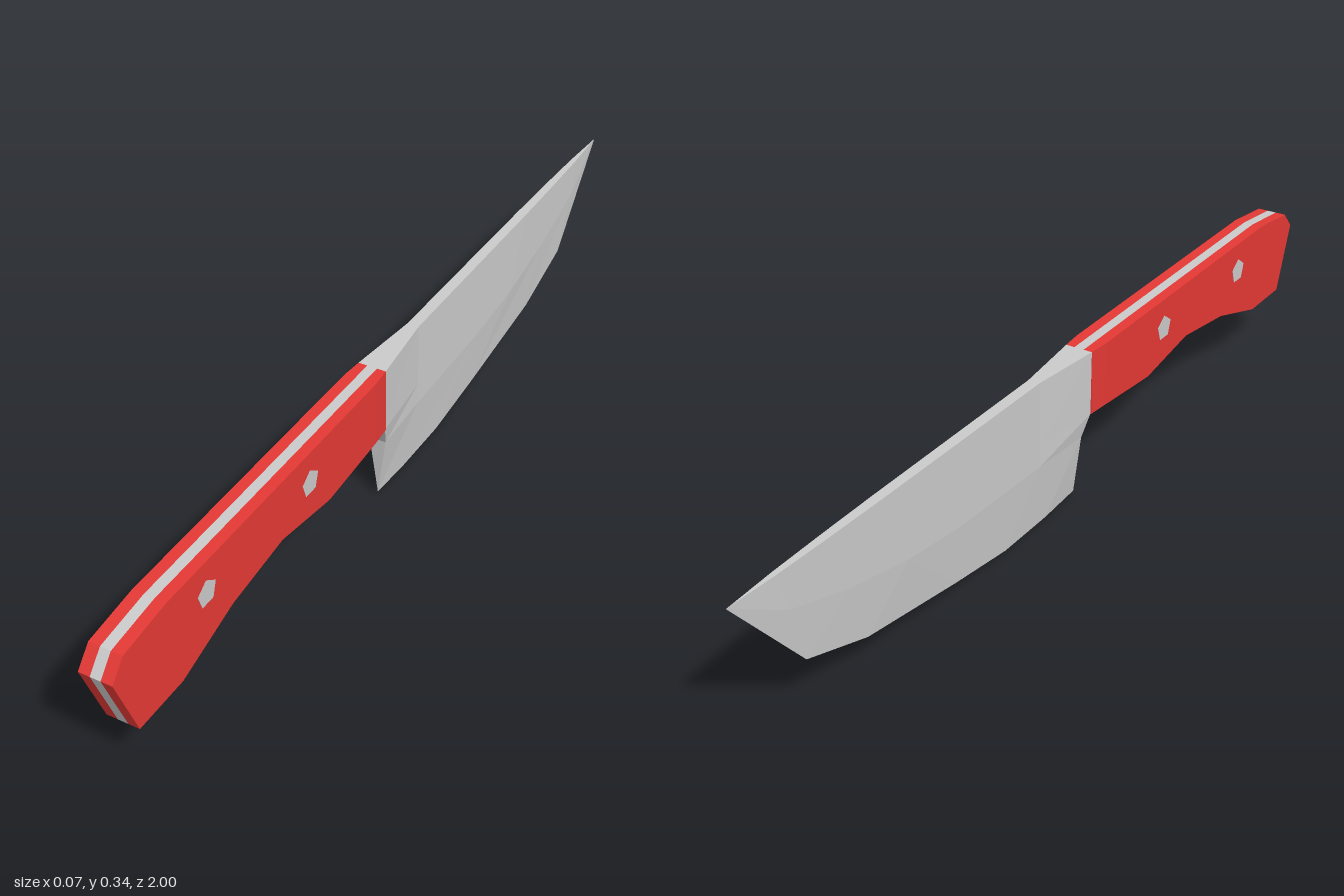
import * as THREE from 'three';

const grey = () => new THREE.MeshStandardMaterial({ color: 0xcccccc, flatShading: true });
const red = () => new THREE.MeshStandardMaterial({ color: 0xe53935, flatShading: true });

// Handle outline as [z, y]
const OUTLINE = [
  [0.08, 0.2], [0.13, 0.2], [0.31, 0.185], [0.48, 0.212], [0.65, 0.19], [0.815, 0.139], [0.945, 0.139],
  [1, 0.29], [0.965, 0.33], [0.84, 0.345], [0.13, 0.345], [0.08, 0.345],
];

// Slab of the handle outline between two x positions, narrowing where it meets the blade
function slab(name, x0, x1, material) {
  const shape = new THREE.Shape(OUTLINE.map(([z, y]) => new THREE.Vector2(z, y)));
  const g = new THREE.ExtrudeGeometry(shape, { depth: x1 - x0, bevelEnabled: false });
  g.rotateY(-Math.PI / 2).translate(x1, 0, 0);
  const p = g.attributes.position;
  for (let i = 0; i < p.count; i++) {
    const x = p.getX(i);
    if (Math.abs(x) > 0.02 && p.getZ(i) < 0.1) p.setX(i, Math.sign(x) * 0.031);
  }
  g.computeVertexNormals();
  const mesh = new THREE.Mesh(g, material);
  mesh.name = name;
  return mesh;
}

// Blade lofted through sections: spine, shoulder and bevel as [z, y, halfWidth], edge as [z, y]
function bladeGeometry() {
  const sections = [
    [[0.08, 0.345, 0.031], [0.08, 0.2, 0.029], [0.06, 0.15, 0.019], [0.06, 0.012]],
    [[-0.09, 0.345, 0.013], null, [-0.09, 0.151, 0.0125], [-0.05, 0.005]],
    [[-0.37, 0.345, 0.012], null, [-0.37, 0.16, 0.0115], [-0.2, 0.005]],
    [[-0.6, 0.345, 0.011], null, [-0.53, 0.177, 0.011], [-0.37, 0.027]],
    [[-0.75, 0.345, 0.009], null, [-0.7, 0.212, 0.009], [-0.65, 0.07]],
    [[-0.88, 0.345, 0.006], null, [-0.86, 0.26, 0.006], [-0.82, 0.128]],
    [[-1, 0.345, 0], null, [-1, 0.345, 0], [-1, 0.345]],
  ];
  const pos = [], idx = [], N = 7;
  for (const [spine, shoulder, bevel, edge] of sections) {
    const mid = shoulder || bevel.map((v, k) => v + (spine[k] - v) * 0.25);
    const side = [spine, mid, bevel];
    for (const [z, y, w] of side) pos.push(w, y, z);
    pos.push(0, edge[1], edge[0]);
    for (const [z, y, w] of side.reverse()) pos.push(-w, y, z);
  }
  for (let i = 0; i < sections.length - 1; i++) {
    for (let j = 0; j < N; j++) {
      const a = i * N + j, b = i * N + (j + 1) % N, c = a + N, d = b + N;
      if (i === sections.length - 2) idx.push(a, b, c); // closes to the tip
      else idx.push(a, b, c, b, d, c);
    }
  }
  // Heel cap
  idx.push(0, 6, 5, 0, 5, 1, 1, 5, 4, 1, 4, 2, 2, 4, 3);
  const g = new THREE.BufferGeometry();
  g.setAttribute('position', new THREE.Float32BufferAttribute(pos, 3));
  g.setIndex(idx);
  const flat = g.toNonIndexed();
  flat.computeVertexNormals();
  return flat;
}

export function createModel() {
  const model = new THREE.Group();
  model.name = 'knife';

  const blade = new THREE.Mesh(bladeGeometry(), grey());
  blade.name = 'blade';
  model.add(blade);

  // Handle: steel tang between two scales
  const handle = new THREE.Group();
  handle.name = 'handle';
  handle.add(
    slab('tang', -0.011, 0.011, grey()),
    slab('leftScale', 0.011, 0.035, red()),
    slab('rightScale', -0.035, -0.011, red()),
  );

  // Five-sided rivets through the handle
  for (const z of [0.725, 0.377]) {
    const g = new THREE.CylinderGeometry(0.029, 0.029, 0.071, 5, 1, false, Math.PI / 2);
    const rivet = new THREE.Mesh(g.rotateZ(Math.PI / 2), grey());
    rivet.position.set(0, 0.276, z);
    rivet.name = 'rivet';
    handle.add(rivet);
  }
  model.add(handle);
  return model;
}
